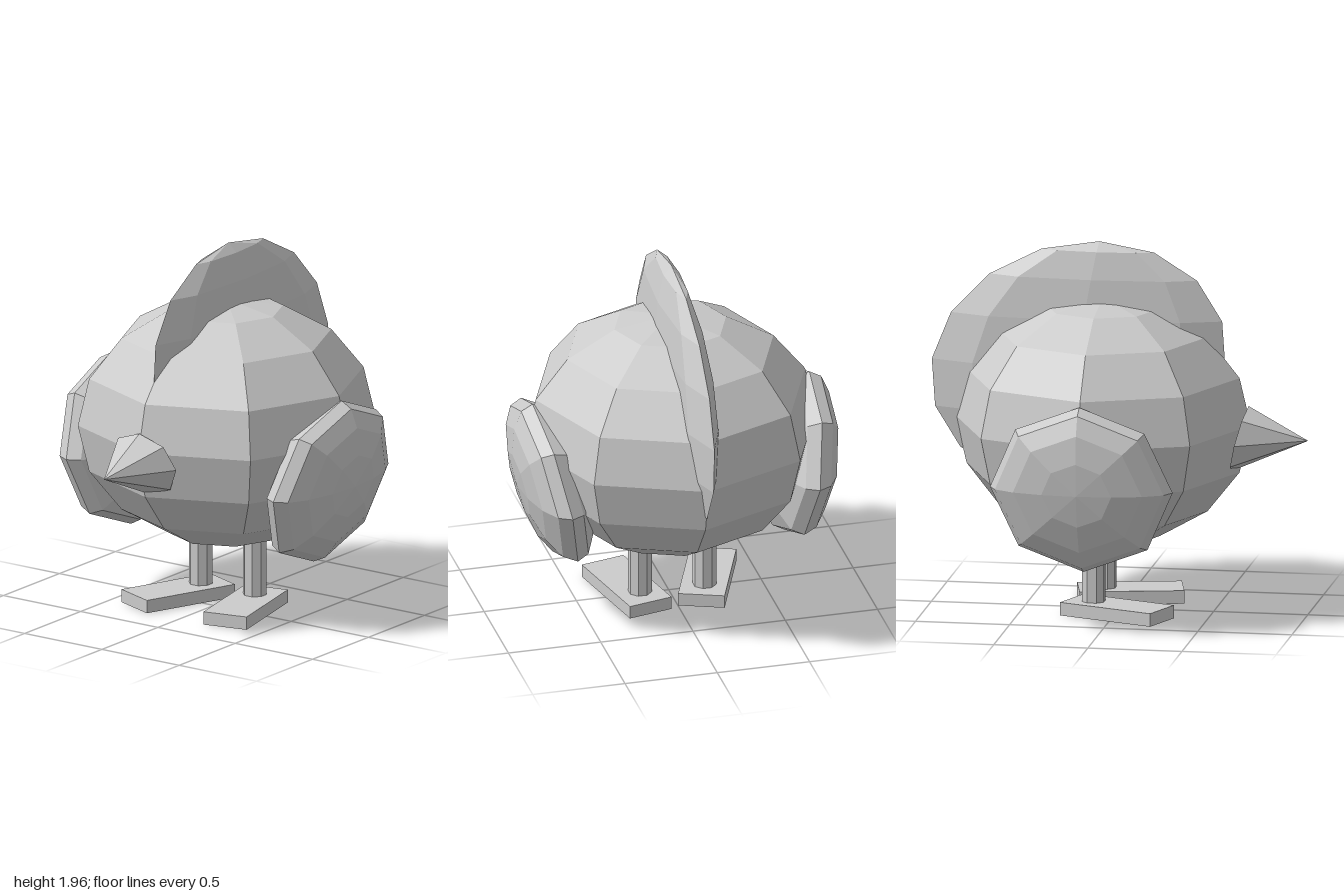
import * as THREE from 'three';

const material = new THREE.MeshStandardMaterial({ color: 0xcccccc, flatShading: true });

function part(name, geometry, x, y, z) {
  const mesh = new THREE.Mesh(geometry, material);
  mesh.name = name;
  mesh.position.set(x, y, z);
  return mesh;
}

// Low-poly ellipsoid
function blob(rx, ry, rz) {
  return new THREE.SphereGeometry(1, 8, 8).scale(rx, ry, rz);
}

export function createModel() {
  const group = new THREE.Group();
  group.name = 'chick';

  // Round body
  group.add(part('body', blob(0.79, 0.66, 0.785), 0.015, 1.0, -0.09));

  // Thin crest over the back, leaning forward with height
  const crest = blob(0.115, 0.66, 0.78);
  crest.applyMatrix4(new THREE.Matrix4().set(
    1, 0, 0, 0,
    0, 1, 0, 0,
    0, 0.167, 1, 0,
    0, 0, 0, 1));
  group.add(part('crest', crest, 0.015, 1.3, -0.22));

  // Cone beak, its base slanted to lie against the body
  const beak = new THREE.ConeGeometry(1, 0.36, 8).rotateX(Math.PI / 2).scale(0.207, 0.175, 1);
  beak.applyMatrix4(new THREE.Matrix4().set(
    1, 0, 0, 0,
    0, 1, 0, 0,
    0, 0.25, 1, 0,
    0, 0, 0, 1));
  group.add(part('beak', beak, 0.013, 0.93, 0.82));

  // Each side: wing tilt, leg position, foot position and turn
  const sides = [
    { name: 'left', s: 1, tilt: 0.2, legX: 0.185, footX: 0.222, yaw: 0.22 },
    { name: 'right', s: -1, tilt: 0.15, legX: -0.165, footX: -0.215, yaw: -0.37 },
  ];
  for (const { name, s, tilt, legX, footX, yaw } of sides) {
    // Lens-shaped wing with its poles facing sideways, top leaning outward
    const wing = new THREE.SphereGeometry(1, 8, 8).rotateZ(-Math.PI / 2).scale(0.18, 0.455, 0.485);
    wing.applyMatrix4(new THREE.Matrix4().set(
      1, s * tilt, 0, 0,
      0, 1, 0, 0,
      0, 0, 1, 0,
      0, 0, 0, 1));
    group.add(part(name + 'Wing', wing, s * 0.67, 0.775, -0.09));

    // Leg
    const leg = new THREE.CylinderGeometry(0.063, 0.063, 0.42, 8).rotateY(Math.PI / 8);
    group.add(part(name + 'Leg', leg, legX, 0.27, -0.11));

    // Foot, toes turned out
    const foot = part(name + 'Foot', new THREE.BoxGeometry(0.245, 0.07, 0.55), footX, 0.035, 0.022);
    foot.rotation.y = yaw;
    group.add(foot);
  }

  return group;
}
